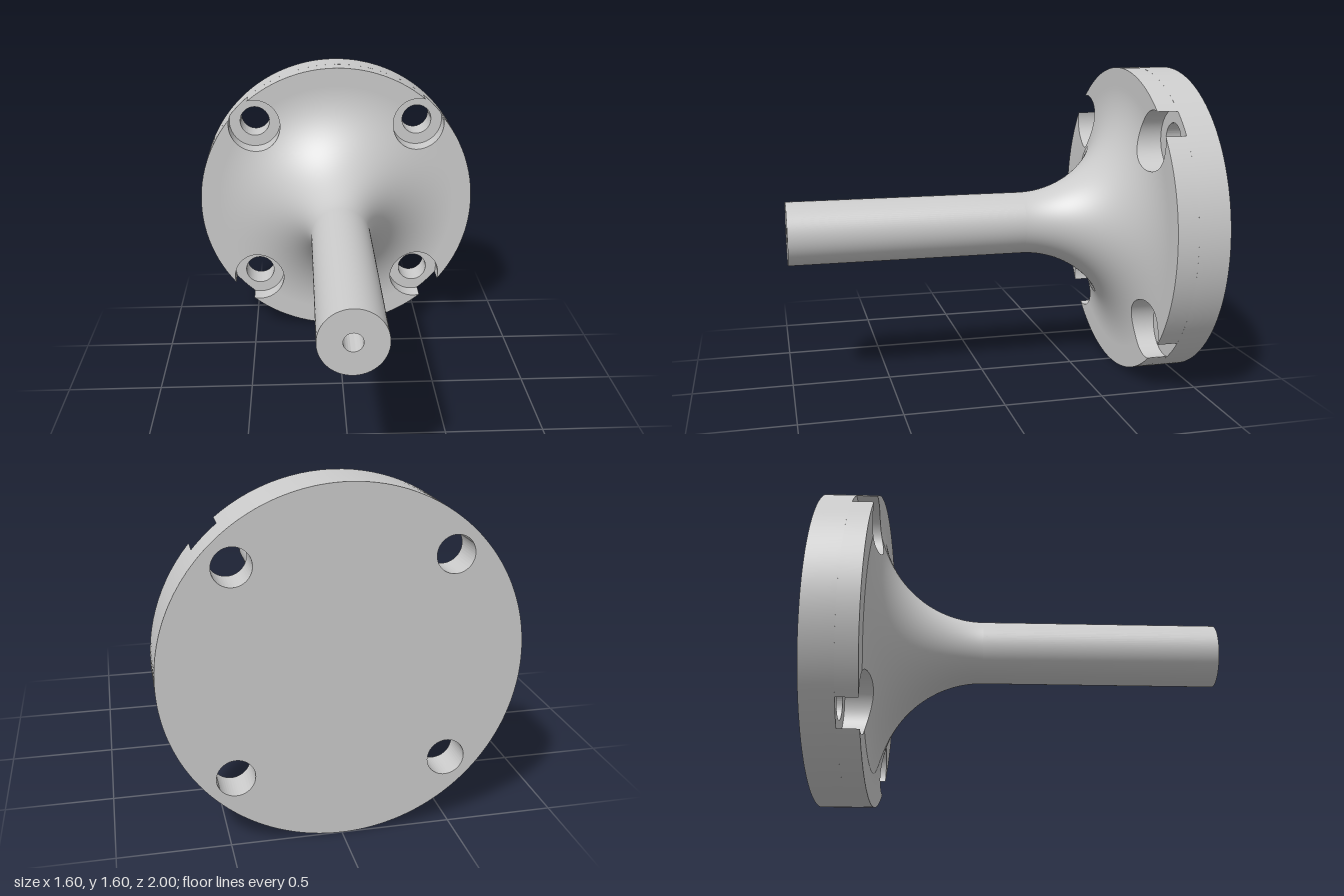
import * as THREE from 'three';
import { ParametricGeometry } from 'three/addons/geometries/ParametricGeometry.js';
import { toCreasedNormals } from 'three/addons/utils/BufferGeometryUtils.js';

const DISC_R = 0.8, BACK = -1, SEAT = -0.84, FACE = -0.735;      // flange
const SHAFT_R = 0.16, FILLET_Z = -0.2, FILLET_R = FILLET_Z - FACE; // shaft and its fillet
const BOLT_D = 0.473 * Math.SQRT2, BOLT_R = 0.085, BORE_R = 0.148; // bolt holes
const FILLET_END = SHAFT_R + FILLET_R;
const { sin, cos, PI } = Math;

// Height of the filleted front surface at a given radius
const frontZ = (r) => r >= FILLET_END ? FACE
  : FILLET_Z - Math.sqrt(Math.max(0, FILLET_R ** 2 - (FILLET_END - r) ** 2));

// Edge of a counterbore in polar form about the flange axis:
// u = 0 is its innermost point, u = 1 where it breaks out of the rim
const PHI_END = Math.acos((DISC_R ** 2 - BOLT_D ** 2 - BORE_R ** 2) / (2 * BOLT_D * BORE_R));
function boreEdge(u) {
  const phi = PI + (PHI_END - PI) * u;
  const x = BOLT_D + BORE_R * cos(phi), y = BORE_R * sin(phi);
  return { r: Math.hypot(x, y), a: Math.atan2(y, x) };
}

// Surface from a rule returning [radius, angle, z]
function polarSurface(rule, nu, nv) {
  return new ParametricGeometry((u, v, p) => {
    const [r, t, z] = rule(u, v);
    p.set(r * cos(t), r * sin(t), z);
  }, nu, nv);
}

// Exact normals for the front surface, so that its patches join smoothly
function frontNormals(geo) {
  const pos = geo.attributes.position, n = new THREE.Vector3();
  for (let i = 0; i < pos.count; i++) {
    const x = pos.getX(i), y = pos.getY(i), r = Math.hypot(x, y);
    const radial = Math.max(0, Math.min(1, (FILLET_END - r) / FILLET_R));
    n.set(radial * x / r, radial * y / r, Math.sqrt(1 - radial * radial));
    geo.attributes.normal.setXYZ(i, n.x, n.y, n.z);
  }
  return geo;
}

export function createModel() {
  const group = new THREE.Group();
  const body = new THREE.Group();
  body.name = 'flangedShaft';
  body.position.y = DISC_R;
  group.add(body);
  const material = new THREE.MeshStandardMaterial({ color: 0xcccccc });
  const add = (name, geo) => {
    const mesh = new THREE.Mesh(geo, material);
    mesh.name = name;
    body.add(mesh);
    return mesh;
  };

  // Back plate with four bolt holes; its front forms the counterbore seats
  const disc = new THREE.Shape().absarc(0, 0, DISC_R, 0, 2 * PI);
  for (let k = 0; k < 4; k++) {
    const t = PI / 4 + k * PI / 2;
    disc.holes.push(new THREE.Path().absarc(BOLT_D * cos(t), BOLT_D * sin(t), BOLT_R, 0, 2 * PI, true));
  }
  const plate = new THREE.ExtrudeGeometry(disc, { depth: SEAT - BACK, bevelEnabled: false, curveSegments: 96 });
  add('flangeBackPlate', toCreasedNormals(plate, 0.6)).position.z = BACK;

  // Front of the flange, one quarter at a time between neighbouring bolts
  const inner = boreEdge(0).r, rimGap = boreEdge(1).a;
  const innerArc = Math.acos((FILLET_END - inner) / FILLET_R);
  for (let k = 0; k < 4; k++) {
    const t0 = PI / 4 + k * PI / 2, t1 = t0 + PI / 2;
    const between = (a, v) => t0 + a + (t1 - t0 - 2 * a) * v;

    // Fillet inside the bolt circle
    add('fillet', frontNormals(polarSurface((u, v) => {
      const b = innerArc * u;
      return [FILLET_END - FILLET_R * cos(b), between(0, v), FILLET_Z - FILLET_R * sin(b)];
    }, 24, 24)));

    // Face between two counterbores
    add('flangeFace', frontNormals(polarSurface((u, v) => {
      const { r, a } = boreEdge(u);
      return [r, between(a, v), frontZ(r)];
    }, 32, 24)));

    // Counterbore walls on both sides of the patch
    add('counterboreWall', polarSurface((u, v) => {
      const { r, a } = boreEdge(u);
      return [r, t0 + a, SEAT + (frontZ(r) - SEAT) * v];
    }, 32, 1));
    add('counterboreWall', polarSurface((u, v) => {
      const { r, a } = boreEdge(u);
      return [r, t1 - a, frontZ(r) + (SEAT - frontZ(r)) * v];
    }, 32, 1));

    // Rim between the breakouts
    add('flangeRim', polarSurface((u, v) =>
      [DISC_R, between(rimGap, u), SEAT + (FACE - SEAT) * v], 24, 1));
  }

  // Shaft with a small blind centre hole in its end
  const profile = [[SHAFT_R, FILLET_Z], [SHAFT_R, 1], [0.045, 1], [0.045, 0.7], [0, 0.7]]
    .map(([x, y]) => new THREE.Vector2(x, y));
  const shaft = new THREE.LatheGeometry(profile, 96).rotateX(PI / 2);
  add('shaft', toCreasedNormals(shaft, 0.6));

  return group;
}
